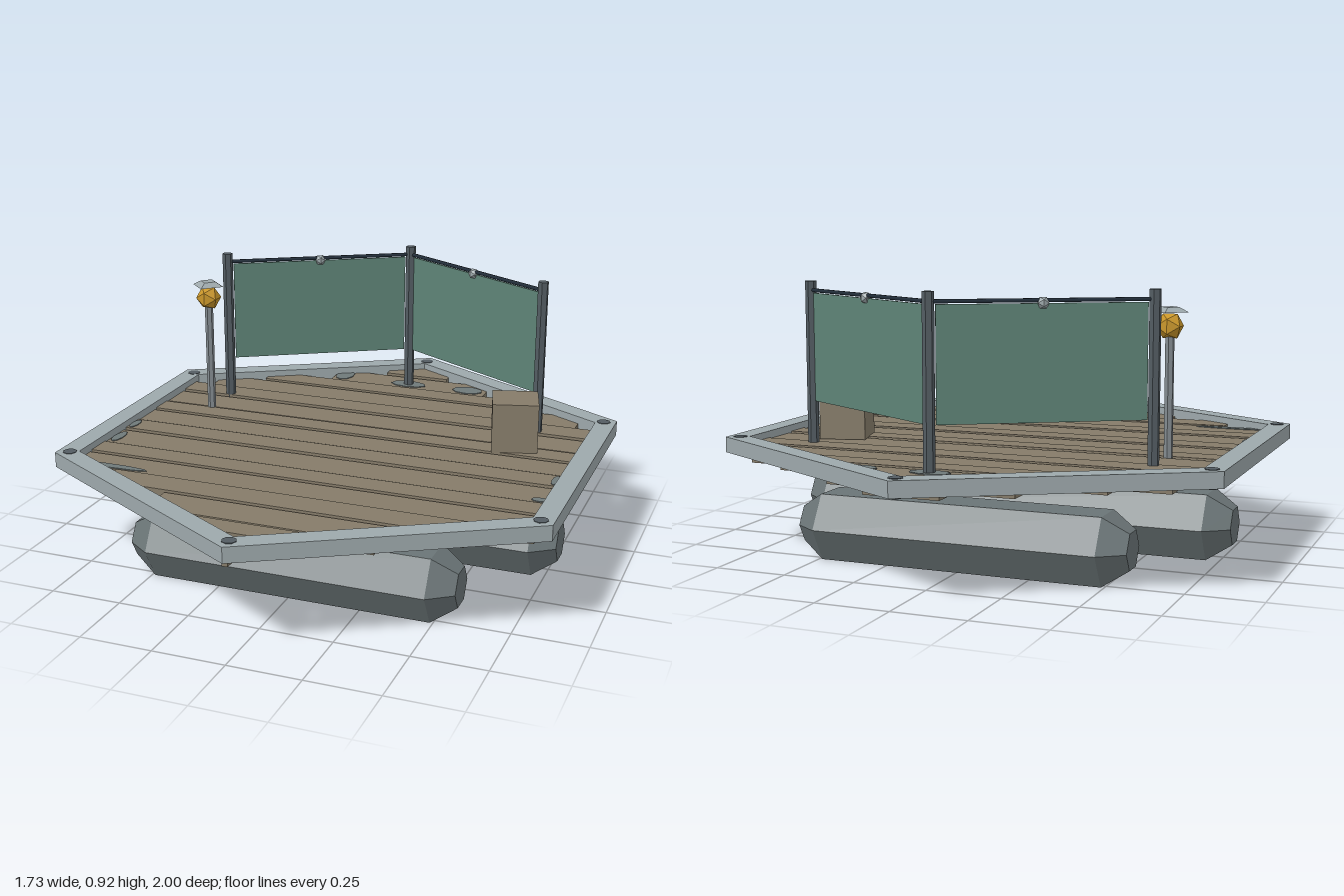
import * as THREE from 'three';

const paint = (name, color) => {
  const m = new THREE.MeshStandardMaterial({ color });
  m.name = name;
  return m;
};

// Faceted normals for low-poly parts
const flat = (geometry) => {
  const g = geometry.index ? geometry.toNonIndexed() : geometry;
  g.computeVertexNormals();
  return g;
};

const hexagon = (r, Type) => {
  const pts = [];
  for (let i = 0; i < 6; i++) {
    const a = Math.PI / 2 + i * Math.PI / 3;
    pts.push(new THREE.Vector2(r * Math.cos(a), r * Math.sin(a)));
  }
  return new Type(pts);
};

export function createModel() {
  const wood = paint('weathered wood', 0x857b69);
  const metal = paint('pale metal', 0x9da8ab);
  const floatGrey = paint('float grey', 0x6a7476);
  const postGrey = paint('post grey', 0x535c62);
  const rope = paint('dark rope', 0x222e3a);
  const cloth = paint('green cloth', 0x5e8376);
  const gold = paint('lantern gold', 0xc9962a);
  const poleGrey = paint('pole grey', 0x838b90);
  const stain = paint('damp stain', 0x6f797a);

  const model = new THREE.Group();
  model.name = 'raft';
  const add = (name, geometry, material, x, y, z, parent = model) => {
    const mesh = new THREE.Mesh(geometry, material);
    mesh.name = name;
    mesh.position.set(x, y, z);
    parent.add(mesh);
    return mesh;
  };
  const post = (name, r, y0, y1, x, z, material, sides = 6) =>
    add(name, flat(new THREE.CylinderGeometry(r, r, y1 - y0, sides)), material, x, (y0 + y1) / 2, z);

  // Hexagonal floats with tapered ends
  for (const [z, half] of [[-0.456, 0.572], [0, 0.787], [0.456, 0.572]]) {
    const profile = [[0, -half], [0.068, -half], [0.128, -half + 0.083],
      [0.128, half - 0.083], [0.068, half], [0, half]].map((p) => new THREE.Vector2(...p));
    const g = flat(new THREE.LatheGeometry(profile, 6));
    g.rotateZ(Math.PI / 2);
    add('float', g, floatGrey, 0, 0.112, z);
  }

  // Hexagonal rim
  const rim = hexagon(1, THREE.Shape);
  rim.holes.push(hexagon(0.918, THREE.Path));
  const rimGeometry = new THREE.ExtrudeGeometry(rim, { depth: 0.053, bevelEnabled: false });
  rimGeometry.rotateX(-Math.PI / 2);
  add('rim', rimGeometry, metal, 0, 0.336, 0);

  // Flush corner pins
  for (let i = 0; i < 6; i++) {
    const a = i * Math.PI / 3;
    post('cornerPin', 0.024, 0.33, 0.391, 0.95 * Math.sin(a), 0.95 * Math.cos(a), postGrey, 8);
  }

  // Deck planks: near edge, far edge, half length
  const planks = [
    [-0.92, -0.815, 0.125], [-0.797, -0.675, 0.313], [-0.664, -0.574, 0.555], [-0.563, -0.447, 0.725],
    [-0.437, -0.339, 0.83], [-0.323, -0.198, 0.83], [-0.183, -0.098, 0.83], [-0.087, 0.029, 0.83],
    [0.04, 0.135, 0.83], [0.15, 0.278, 0.83], [0.288, 0.378, 0.83], [0.389, 0.505, 0.81],
    [0.511, 0.616, 0.622], [0.627, 0.754, 0.383], [0.77, 0.85, 0.212], [0.865, 0.985, 0.01],
  ];
  planks.forEach(([z0, z1, half], i) => {
    const drop = (i % 2) * 0.004;
    add('plank', new THREE.BoxGeometry(half * 2, 0.042, z1 - z0), wood, 0, 0.345 - drop, (z0 + z1) / 2);
  });

  // Damp stains on the planks: x, z, half sizes, top height
  for (const [x, z, rx, rz, y] of [
    [-0.275, -0.735, 0.035, 0.055, 0.362], [0, -0.715, 0.07, 0.035, 0.362], [0.24, -0.72, 0.06, 0.04, 0.362],
    [-0.65, 0.485, 0.13, 0.016, 0.362], [-0.775, 0.22, 0.018, 0.05, 0.362], [0.77, 0.26, 0.03, 0.016, 0.362],
    [-0.78, 0.09, 0.014, 0.04, 0.366], [0.78, 0.09, 0.014, 0.04, 0.366],
  ]) {
    const g = new THREE.CylinderGeometry(1, 1, 0.003, 9);
    g.scale(rx, 1, rz);
    add('dampStain', g, stain, x, y + 0.0015, z);
  }

  // Windbreak: posts, ropes, cloth and hanging beads
  for (const [x, z] of [[-0.605, -0.357], [0, -0.717], [0.605, -0.357]]) {
    post('windbreakPost', 0.019, 0.34, 0.918, x, z, postGrey);
  }
  for (const side of [-1, 1]) {
    const panel = new THREE.Group();
    panel.name = side < 0 ? 'rightWindbreak' : 'leftWindbreak';
    panel.position.set(side * 0.3025, 0, -0.537);
    panel.rotation.y = -side * Math.atan2(0.36, 0.605);
    model.add(panel);
    add('cloth', new THREE.BoxGeometry(0.66, 0.368, 0.006), cloth, 0, 0.694, 0, panel);
    const line = new THREE.CylinderGeometry(0.007, 0.007, 0.704, 6);
    line.rotateZ(Math.PI / 2);
    add('topRope', line, rope, 0, 0.887, 0, panel);
    add('bead', new THREE.IcosahedronGeometry(0.021, 0), metal, 0, 0.879, 0, panel);
  }

  // Lantern on a pole with a square cap
  post('lanternPole', 0.015, 0.34, 0.77, -0.605, -0.187, poleGrey);
  add('lantern', new THREE.IcosahedronGeometry(0.046, 0), gold, -0.605, 0.79, -0.187);
  add('lanternCap', flat(new THREE.CylinderGeometry(0.03, 0.061, 0.016, 4)), metal, -0.605, 0.843, -0.187);

  // Crate
  const crate = add('crate', new THREE.BoxGeometry(0.159, 0.176, 0.159), wood, 0.564, 0.452, -0.19);
  crate.rotation.y = 0.27;

  return model;
}
